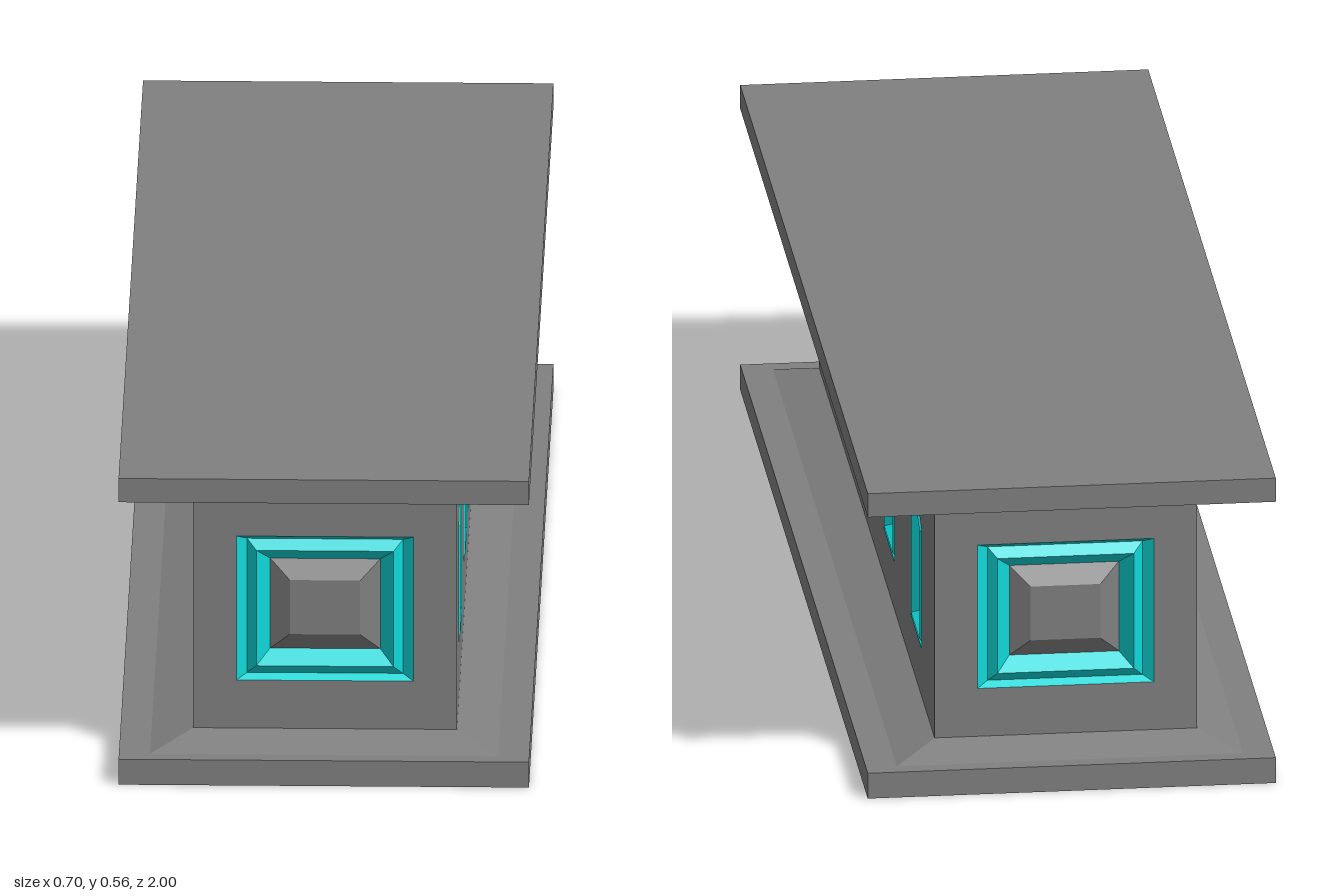
import * as THREE from 'three';

const stone = new THREE.MeshStandardMaterial({ color: 0x808080, flatShading: true });
const teal = new THREE.MeshStandardMaterial({ color: 0x10d8d8, flatShading: true });

const BODY_X = 0.225, BODY_Z = 0.905, BODY_Y0 = 0.07, BODY_Y1 = 0.482;

// Counter-clockwise outlines in the (u, v) plane
const rect = (hw, v0, v1) => [[-hw, v0], [hw, v0], [hw, v1], [-hw, v1]];

function pointedArch(cu, inset) {
  const hw = 0.083 - inset, slope = 0.53;
  const bottom = 0.157 + inset * 0.65, apex = 0.414 - inset * 0.8;
  const shoulder = apex - slope * hw;
  return [[cu - hw, bottom], [cu + hw, bottom], [cu + hw, shoulder], [cu, apex], [cu - hw, shoulder]];
}

// Skins successive outlines, each placed at its own depth; optionally closes the last one
function loft(rings, cap = false) {
  const pos = [];
  const put = (ring, i) => {
    const p = ring.pts[i % ring.pts.length];
    pos.push(p[0], p[1], ring.d);
  };
  for (let r = 0; r < rings.length - 1; r++) {
    const a = rings[r], b = rings[r + 1];
    for (let i = 0; i < a.pts.length; i++) {
      put(a, i); put(a, i + 1); put(b, i + 1);
      put(a, i); put(b, i + 1); put(b, i);
    }
  }
  if (cap) {
    const last = rings[rings.length - 1];
    for (let i = 1; i < last.pts.length - 1; i++) {
      put(last, 0); put(last, i); put(last, i + 1);
    }
  }
  const geo = new THREE.BufferGeometry();
  geo.setAttribute('position', new THREE.Float32BufferAttribute(pos, 3));
  geo.computeVertexNormals();
  return geo;
}

function mesh(name, geo, material) {
  const m = new THREE.Mesh(geo, material);
  m.name = name;
  return m;
}

// Flat wall with openings cut out
function wall(halfWidth, openings) {
  const toPoints = (pts) => pts.map(([x, y]) => new THREE.Vector2(x, y));
  const shape = new THREE.Shape(toPoints(rect(halfWidth, BODY_Y0, BODY_Y1)));
  for (const o of openings) shape.holes.push(new THREE.Path(toPoints(o)));
  return mesh('wall', new THREE.ShapeGeometry(shape), stone);
}

// End wall: rectangular moulded frame around a raised panel
function endFace() {
  const g = new THREE.Group();
  g.name = 'endFace';
  const cy = 0.2875;
  const ring = (hw, hh, d) => ({ pts: rect(hw, cy - hh, cy + hh), d });
  const rings = [
    ring(0.151, 0.1305, 0), ring(0.133, 0.1215, -0.014),
    ring(0.117, 0.1045, 0), ring(0.094, 0.0815, -0.026),
  ];
  g.add(wall(BODY_X, [rings[0].pts]));
  g.add(mesh('endFrame', loft(rings), teal));
  g.add(mesh('endPanel', loft([rings[3], ring(0.06, 0.049, -0.006)], true), stone));
  return g;
}

// Long wall: five pointed windows with moulded frames
function sideFace(centres) {
  const g = new THREE.Group();
  g.name = 'sideFace';
  g.add(wall(BODY_Z, centres.map((c) => pointedArch(c, 0))));
  for (const c of centres) {
    const ring = (inset, d) => ({ pts: pointedArch(c, inset), d });
    const pane = ring(0.033, -0.016);
    g.add(mesh('windowFrame', loft([ring(0, 0), ring(0.005, -0.007), ring(0.018, 0.002), pane]), teal));
    g.add(mesh('windowPane', loft([pane], true), stone));
  }
  return g;
}

// Four-sided sloped moulding between two heights
function moulding(name, x0, z0, y0, x1, z1, y1) {
  const geo = loft([{ pts: rect(x0, -z0, z0), d: y0 }, { pts: rect(x1, -z1, z1), d: y1 }]);
  return mesh(name, geo.rotateX(-Math.PI / 2), stone);
}

function slab(name, y0, y1) {
  const m = mesh(name, new THREE.BoxGeometry(0.7, y1 - y0, 2), stone);
  m.position.y = (y0 + y1) / 2;
  return m;
}

export function createModel() {
  const model = new THREE.Group();
  model.name = 'building';

  // Base and roof
  model.add(slab('baseSlab', 0, 0.046));
  model.add(moulding('baseMoulding', 0.297, 0.972, 0.046, BODY_X, BODY_Z, BODY_Y0));
  model.add(moulding('corniceMoulding', BODY_X, BODY_Z, BODY_Y1, 0.29, 0.968, 0.512));
  model.add(slab('roofSlab', 0.512, 0.555));

  // Walls, mirrored front to back and left to right
  const windowZ = [0.635, 0.23, 0.015, -0.197, -0.62];
  for (const s of [1, -1]) {
    const end = endFace();
    end.position.z = s * BODY_Z;
    end.rotation.y = s > 0 ? 0 : Math.PI;
    const side = sideFace(windowZ.map((z) => -s * z));
    side.position.x = s * BODY_X;
    side.rotation.y = (s * Math.PI) / 2;
    model.add(end, side);
  }
  return model;
}
